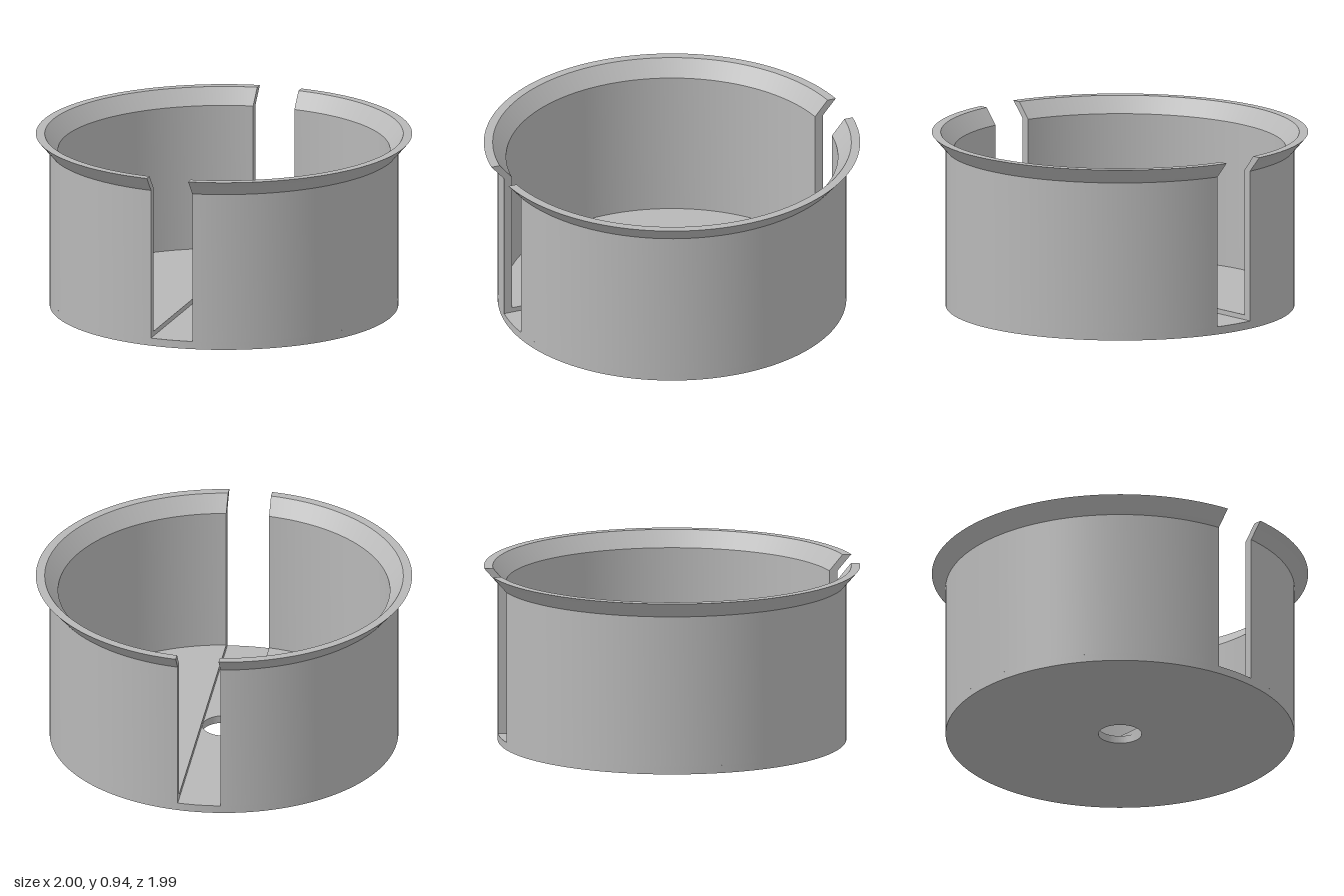
import * as THREE from 'three';
import { toCreasedNormals } from 'three/addons/utils/BufferGeometryUtils.js';

const SLOT = 0.115;   // half width of the slot
const BASE = 0.042;   // thickness of the base disc
const FLOOR = 0.068;  // top of the raised floor

// Closed wall section as [radius, height], counter-clockwise
const PROFILE = [
  [0.882, BASE], [0.927, BASE], [0.927, 0.855],
  [1.0, 0.94], [0.953, 0.94], [0.882, 0.855],
];

// Sweeps the section round one side, trimmed to the plane x = SLOT
function sweepGeometry(profile, steps) {
  const pos = [], index = [];
  const point = ([r, y], t) => {
    const a = Math.asin(SLOT / r);
    const th = a + (Math.PI - 2 * a) * t;
    pos.push(r * Math.sin(th), y, r * Math.cos(th));
  };
  profile.forEach((p, i) => {
    const q = profile[(i + 1) % profile.length];
    const start = pos.length / 3;
    for (let j = 0; j <= steps; j++) {
      point(p, j / steps);
      point(q, j / steps);
      if (j === steps) continue;
      const a = start + j * 2;
      index.push(a, a + 2, a + 1, a + 2, a + 3, a + 1);
    }
  });
  const g = new THREE.BufferGeometry();
  g.setAttribute('position', new THREE.Float32BufferAttribute(pos, 3));
  g.setIndex(index);
  g.computeVertexNormals();
  return g;
}

// Flat cut face of the wall beside the slot; side is +1 front, -1 back
function cutGeometry(profile, side) {
  const pts = profile.map(([r, y]) =>
    new THREE.Vector2(side * Math.sqrt(r * r - SLOT * SLOT), y));
  return new THREE.ShapeGeometry(new THREE.Shape(pts))
    .rotateY(-Math.PI / 2).translate(SLOT, 0, 0);
}

// Upright slab from a plan shape
function slab(shape, y0, y1) {
  const g = new THREE.ExtrudeGeometry(shape, { depth: y1 - y0, bevelEnabled: false, curveSegments: 96 });
  g.rotateX(-Math.PI / 2).translate(0, y0, 0);
  return toCreasedNormals(g, 0.5);
}

export function createModel() {
  const model = new THREE.Group();
  const grey = new THREE.MeshStandardMaterial({ color: 0xb8b8b8 });
  grey.name = 'grey';
  const add = (parent, name, geometry) => {
    const mesh = new THREE.Mesh(geometry, grey);
    mesh.name = name;
    parent.add(mesh);
  };

  // Base disc with centre hole
  const disc = new THREE.Shape().absarc(0, 0, 0.927, 0, Math.PI * 2);
  disc.holes.push(new THREE.Path().absarc(0, 0, SLOT, 0, Math.PI * 2, true));
  add(model, 'base', slab(disc, 0, BASE));

  // Two opposite halves: flared wall, its cut faces and the raised floor
  const wall = sweepGeometry(PROFILE, 96);
  const b = Math.acos(SLOT / 0.884);
  const floor = slab(new THREE.Shape().absarc(0, 0, 0.884, -b, b), BASE, FLOOR);
  for (const name of ['leftHalf', 'rightHalf']) {
    const half = new THREE.Group();
    half.name = name;
    add(half, 'wall', wall);
    add(half, 'frontCutFace', cutGeometry(PROFILE, 1));
    add(half, 'backCutFace', cutGeometry(PROFILE, -1));
    add(half, 'raisedFloor', floor);
    if (name === 'rightHalf') half.rotation.y = Math.PI;
    model.add(half);
  }
  return model;
}
